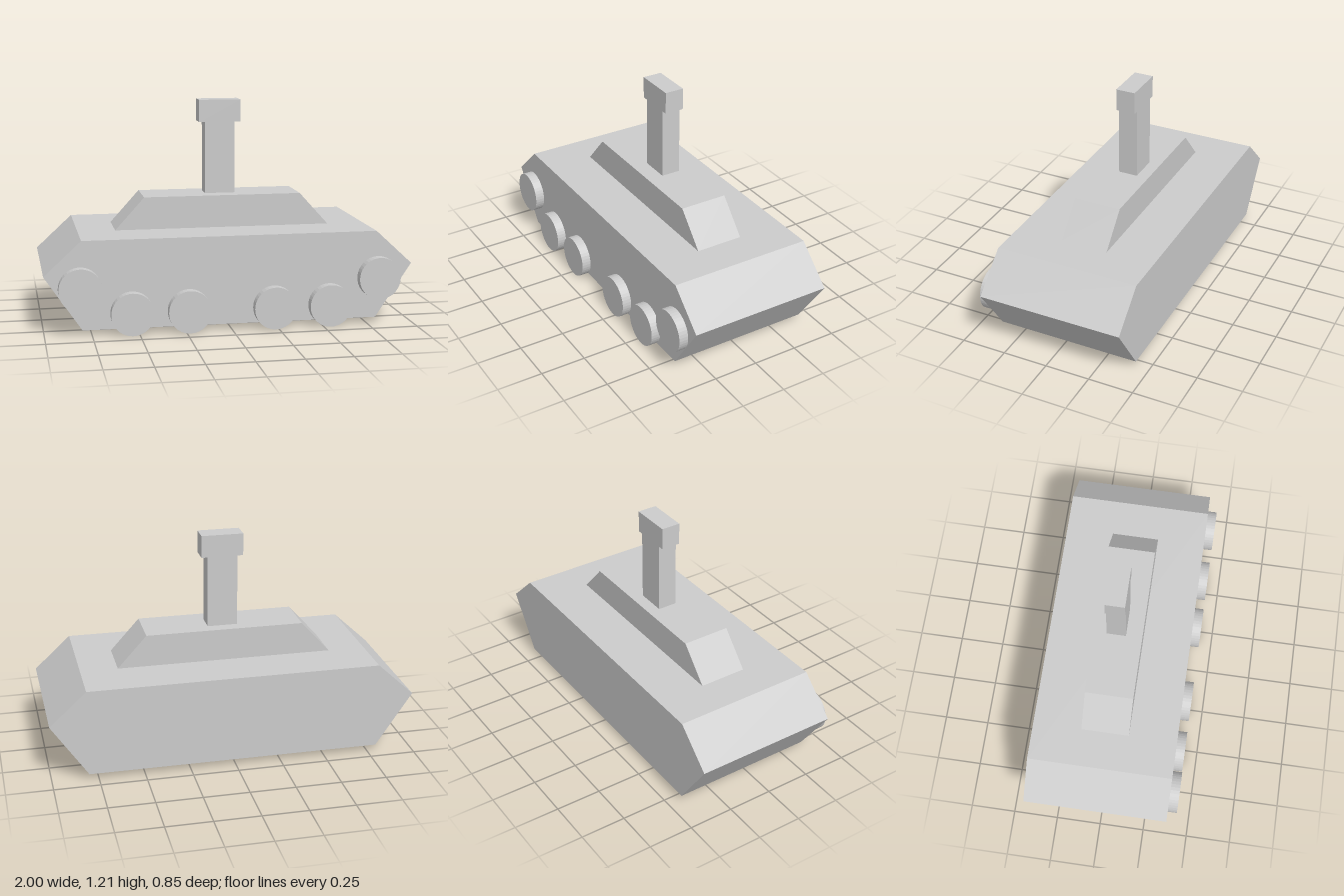
import * as THREE from 'three';

const material = new THREE.MeshStandardMaterial({ color: 0xcccccc, flatShading: true });

// Extrudes a profile, given as its +x half from bottom to top and mirrored, from zBack to zFront
function slab(name, half, zBack, zFront) {
  const mirrored = half.map(([x, y]) => [-x, y]).reverse();
  const shape = new THREE.Shape([...half, ...mirrored].map(([x, y]) => new THREE.Vector2(x, y)));
  const geometry = new THREE.ExtrudeGeometry(shape, { depth: zFront - zBack, bevelEnabled: false });
  geometry.translate(0, 0, zBack);
  const mesh = new THREE.Mesh(geometry, material);
  mesh.name = name;
  return mesh;
}

export function createModel() {
  const model = new THREE.Group();
  model.name = 'tank';

  // Hull, turret and upright gun with a wider muzzle
  model.add(
    slab('hull', [[0.8, 0.03], [1, 0.325], [0.8, 0.51]], -0.425, 0.375),
    slab('turret', [[0.595, 0.51], [0.435, 0.687]], -0.157, 0.108),
    slab('gun', [[0.083, 0.687], [0.083, 1.083], [0.115, 1.083], [0.115, 1.205]], -0.09, 0.017)
  );

  // Wheels along the front face only; the outer pair is raised
  const wheels = new THREE.Group();
  wheels.name = 'wheels';
  const radius = 0.115, depth = 0.052;
  const wheelGeometry = new THREE.CylinderGeometry(radius, radius, depth, 40).rotateX(Math.PI / 2);
  for (const [x, y] of [[0.811, 0.255], [0.538, radius], [0.232, radius]]) {
    for (const side of [-1, 1]) {
      const wheel = new THREE.Mesh(wheelGeometry, material);
      wheel.name = 'wheel';
      wheel.position.set(side * x, y, 0.375 + depth / 2);
      wheels.add(wheel);
    }
  }
  model.add(wheels);
  return model;
}
